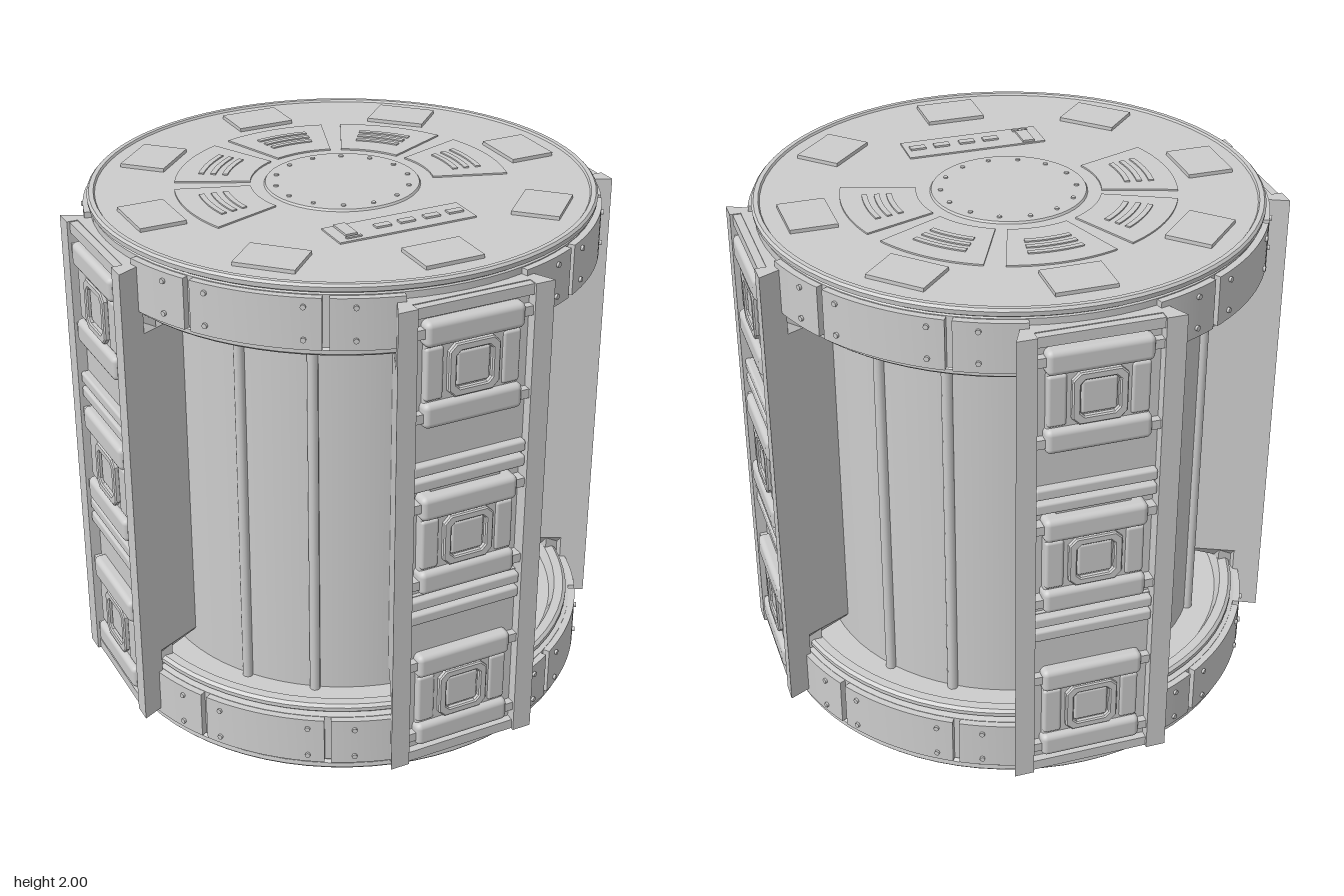
import * as THREE from 'three';
import { toCreasedNormals } from 'three/addons/utils/BufferGeometryUtils.js';
import { RoundedBoxGeometry } from 'three/addons/geometries/RoundedBoxGeometry.js';
import { ConvexGeometry } from 'three/addons/geometries/ConvexGeometry.js';

const metal = new THREE.MeshStandardMaterial({ color: 0xcccccc });
metal.name = 'light grey metal';
const deg = Math.PI / 180;

function add(parent, name, geometry, x = 0, y = 0, z = 0) {
  const mesh = new THREE.Mesh(geometry, metal);
  mesh.name = name;
  mesh.position.set(x, y, z);
  parent.add(mesh);
  return mesh;
}
const box = (w, h, d) => new THREE.BoxGeometry(w, h, d);

// Group turned about the vertical axis; its own +z points outward at the given angle.
function spoke(parent, name, angle) {
  const group = new THREE.Group();
  group.name = name;
  group.rotation.y = angle * deg;
  parent.add(group);
  return group;
}

// Upright ring segment centred on +z.
function sector(r0, r1, a0, a1, height) {
  const shape = new THREE.Shape();
  shape.absarc(0, 0, r1, a0 * deg - Math.PI / 2, a1 * deg - Math.PI / 2, false);
  shape.absarc(0, 0, r0, a1 * deg - Math.PI / 2, a0 * deg - Math.PI / 2, true);
  shape.closePath();
  const geometry = new THREE.ExtrudeGeometry(shape, { depth: height, bevelEnabled: false, curveSegments: 8 });
  return toCreasedNormals(geometry.rotateX(-Math.PI / 2), 0.5);
}

function prism(points, height) {
  const shape = new THREE.Shape(points.map(([x, z]) => new THREE.Vector2(x, -z)));
  return new THREE.ExtrudeGeometry(shape, { depth: height, bevelEnabled: false }).rotateX(-Math.PI / 2);
}

// End cap, built with its outer face at y = 0 and its body below.
function makeCap(name, wedgeAngles) {
  const cap = new THREE.Group();
  cap.name = name;
  const profile = [
    [0.74, -0.24], [0.85, -0.24], [0.87, -0.28], [0.905, -0.28], [0.917, -0.27], [0.917, -0.255], [0.905, -0.245],
    [0.93, -0.24], [0.93, -0.045], [0.925, -0.04], [0.938, -0.032], [0.94, -0.015], [0.932, -0.006],
    [0.915, -0.006], [0.91, -0.014], [0, -0.014],
  ].map(([r, y]) => new THREE.Vector2(r, y));
  add(cap, 'capBody', toCreasedNormals(new THREE.LatheGeometry(profile, 72), 0.6));
  add(cap, 'centreDisc', toCreasedNormals(new THREE.CylinderGeometry(0.285, 0.29, 0.008, 48), 0.5), 0, -0.01, 0);
  for (let i = 0; i < 14; i++) {
    add(spoke(cap, 'discBolt', i * 360 / 14), 'bolt', new THREE.CylinderGeometry(0.009, 0.009, 0.006, 8), 0, -0.004, 0.25);
  }
  // Square pads
  for (let i = 0; i < 8; i++) {
    add(spoke(cap, 'capPad', i * 45), 'pad', box(0.225, 0.016, 0.175), 0, -0.008, 0.755);
  }
  // Wedge plates with vent slats
  for (const angle of wedgeAngles) {
    const wedge = spoke(cap, 'wedge', angle);
    add(wedge, 'wedgePlate', sector(0.34, 0.62, -19, 19, 0.007), 0, -0.015, 0);
    for (const r of [0.43, 0.475, 0.52]) add(wedge, 'ventSlat', sector(r, r + 0.02, -11, 11, 0.006), 0, -0.009, 0);
  }
  // Curved side plates with bolts
  for (let q = 0; q < 4; q++) {
    const quarter = spoke(cap, 'rimQuarter', q * 90);
    for (const [a0, a1] of [[14, 29.3], [30.8, 59.2], [60.7, 76]]) {
      add(quarter, 'rimPlate', sector(0.92, 0.955, a0, a1, 0.19), 0, -0.238, 0);
    }
    for (const a of [24, 34.5, 55.5, 66]) {
      for (const y of [-0.08, -0.2]) {
        const bolt = new THREE.CylinderGeometry(0.01, 0.01, 0.012, 8).rotateX(Math.PI / 2);
        add(spoke(quarter, 'rimBolt', a), 'bolt', bolt, 0, y, 0.958);
      }
    }
  }
  return cap;
}

function squareFrame(outer, inner, depth) {
  const square = (Type, s) => {
    const p = new Type();
    const c = s * 0.75;
    p.moveTo(-c, -s); p.lineTo(c, -s); p.lineTo(s, -c); p.lineTo(s, c);
    p.lineTo(c, s); p.lineTo(-c, s); p.lineTo(-s, c); p.lineTo(-s, -c); p.closePath();
    return p;
  };
  const shape = square(THREE.Shape, outer);
  shape.holes.push(square(THREE.Path, inner));
  return new THREE.ExtrudeGeometry(shape, { depth, bevelEnabled: true, bevelSize: 0.005, bevelThickness: 0.005, bevelSegments: 1 });
}

// Clamp module mounted on the pillar face
function makeModule(parent, y) {
  const unit = new THREE.Group();
  unit.name = 'clampModule';
  unit.position.y = y;
  parent.add(unit);
  add(unit, 'backBlock', new RoundedBoxGeometry(0.37, 0.26, 0.08, 2, 0.015), 0, 0, 0.935);
  for (const s of [-1, 1]) {
    add(unit, 'roll', new RoundedBoxGeometry(0.385, 0.095, 0.09, 3, 0.022), 0, s * 0.152, 0.955);
    add(unit, 'sideCheek', new RoundedBoxGeometry(0.07, 0.2, 0.06, 2, 0.012), s * 0.15, 0, 0.953);
    for (const t of [-1, 1]) add(unit, 'sideTab', box(0.05, 0.035, 0.05), s * 0.208, t * 0.158, 0.96);
  }
  add(unit, 'windowFrame', squareFrame(0.095, 0.075, 0.025), 0, 0, 0.963);
  add(unit, 'windowPlate', new RoundedBoxGeometry(0.13, 0.13, 0.03, 2, 0.01), 0, 0, 0.968);
}

function makePillar(parent, angle) {
  const pillar = spoke(parent, 'pillar', angle);
  // Tapered body between the caps, with chamfered ends
  const corners = [];
  for (const [z, w, w2, rise] of [[0.68, 0.15, 0.08, 0.68], [0.94, 0.272, 0.2, 0.755]]) {
    for (const s of [-1, 1]) {
      for (const t of [-1, 1]) {
        corners.push(new THREE.Vector3(s * w, 1 + t * 0.67, z), new THREE.Vector3(s * w2, 1 + t * rise, z));
      }
    }
  }
  add(pillar, 'pillarBody', new ConvexGeometry(corners));
  // Flared edge rails
  for (const s of [-1, 1]) {
    const outline = [[0.3, 0.996], [0.225, 0.996], [0.225, 0.9], [0.253, 0.9]].map(([x, z]) => [s * x, z]);
    add(pillar, 'edgeRail', prism(outline, 1.86), 0, 0.07, 0);
  }
  // Face panels, the middle one set back
  for (const t of [-1, 1]) {
    add(pillar, 'facePanel', box(0.45, 0.71, 0.11), 0, 1 + t * 0.575, 0.9);
    add(pillar, 'innerStep', box(0.28, 0.1, 0.05), 0, 1 + t * 0.18, 0.93);
    add(pillar, 'endBar', box(0.45, 0.04, 0.05), 0, 1 + t * 0.907, 0.96);
    for (const y of [0.245, 0.305]) {
      add(pillar, 'crossBar', new RoundedBoxGeometry(0.45, 0.045, 0.05, 2, 0.01), 0, 1 + t * y, 0.96);
    }
  }
  add(pillar, 'recessPanel', box(0.45, 0.46, 0.08), 0, 1, 0.89);
  for (const y of [0.335, 1, 1.67]) makeModule(pillar, y);
}

export function createModel() {
  const model = new THREE.Group();
  model.name = 'drum';

  // Core and its upright ribs
  add(model, 'core', new THREE.CylinderGeometry(0.745, 0.745, 1.6, 72, 1, true), 0, 1, 0);
  for (let q = 0; q < 4; q++) {
    for (const a of [34.6, 55.4]) {
      add(spoke(model, 'coreRib', q * 90 + a), 'rib', new THREE.CylinderGeometry(0.02, 0.02, 1.54, 10, 1, true), 0, 1, 0.753);
    }
    makePillar(model, q * 90);
  }

  // Caps
  const top = makeCap('topCap', [90, 135, 180, 225, 270]);
  top.position.y = 2;
  model.add(top);
  const bottom = makeCap('bottomCap', [0, 45, 90, 135, 180, 225, 270, 315]);
  bottom.rotation.x = Math.PI;
  model.add(bottom);

  // Control strip on the top
  add(top, 'controlStrip', box(0.54, 0.008, 0.145), 0, -0.012, 0.447);
  add(top, 'lever', box(0.045, 0.012, 0.1), -0.205, -0.006, 0.43);
  add(top, 'leverFoot', box(0.06, 0.006, 0.012), -0.205, -0.006, 0.495);
  for (const x of [-0.07, 0.025, 0.125, 0.22]) add(top, 'button', box(0.06, 0.01, 0.03), x, -0.006, 0.45);
  return model;
}
